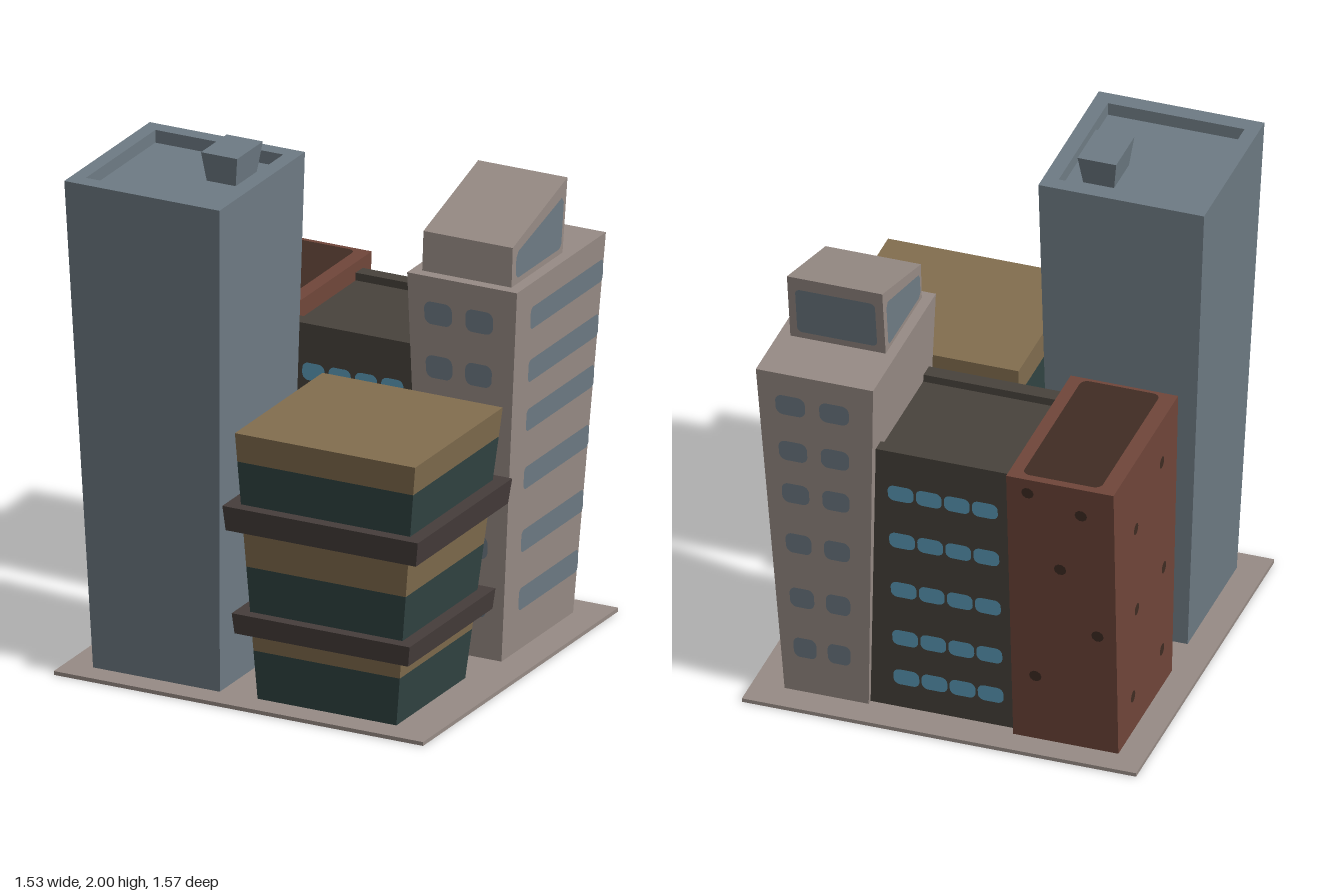
import * as THREE from 'three';

const paint = (name, color) => Object.assign(new THREE.MeshStandardMaterial({ color }), { name });
const M = {
  slate: paint('slate blue', 0x6e7b84),
  taupe: paint('warm taupe', 0x978b85),
  tan: paint('tan', 0x826e4f),
  teal: paint('dark teal', 0x324544),
  charcoal: paint('charcoal', 0x463d3b),
  brick: paint('brick red', 0x70463a),
  olive: paint('dark olive', 0x48433c),
  brown: paint('dark brown', 0x402c23),
  cyan: paint('window cyan', 0x5c9cb9),
};
const lerp = THREE.MathUtils.lerp;

function add(group, name, geometry, material) {
  const mesh = new THREE.Mesh(geometry, material);
  mesh.name = name;
  group.add(mesh);
  return mesh;
}

function part(parent, name) {
  const g = new THREE.Group();
  g.name = name;
  parent.add(g);
  return g;
}

// Flat-sided solid through rectangular rings [y, x0, x1, z0, z1], capped at both ends
function loft(rings) {
  const pos = [];
  const corners = ([y, x0, x1, z0, z1]) => [[x0, y, z1], [x1, y, z1], [x1, y, z0], [x0, y, z0]];
  const quad = (a, b, c, d) => pos.push(...a, ...b, ...c, ...a, ...c, ...d);
  const loops = rings.map(corners);
  for (let r = 0; r < loops.length - 1; r++) {
    const [a, b] = [loops[r], loops[r + 1]];
    for (let i = 0; i < 4; i++) quad(a[i], a[(i + 1) % 4], b[(i + 1) % 4], b[i]);
  }
  quad(...[...loops[0]].reverse());
  quad(...loops[loops.length - 1]);
  const g = new THREE.BufferGeometry();
  g.setAttribute('position', new THREE.Float32BufferAttribute(pos, 3));
  g.computeVertexNormals();
  return g;
}

// Side profile of [z, y] points extruded from x0 to x1
function sideProfile(points, x0, x1) {
  const shape = new THREE.Shape(points.map(([z, y]) => new THREE.Vector2(-z, y)));
  return new THREE.ExtrudeGeometry(shape, { depth: x1 - x0, bevelEnabled: false })
    .rotateY(Math.PI / 2).translate(x0, 0, 0);
}

// Rounded rectangle centred at (cx, cy)
function rounded(cx, cy, w, h, r) {
  const s = new THREE.Shape();
  const [x, y] = [w / 2 - r, h / 2 - r];
  s.absarc(cx + x, cy + y, r, 0, Math.PI / 2);
  s.absarc(cx - x, cy + y, r, Math.PI / 2, Math.PI);
  s.absarc(cx - x, cy - y, r, Math.PI, Math.PI * 1.5);
  s.absarc(cx + x, cy - y, r, Math.PI * 1.5, Math.PI * 2);
  return new THREE.ShapeGeometry(s, 5);
}

// Lays a flat (u, v) geometry on a wall by the rule at(u, v) => [x, y, z]
function lay(geometry, at) {
  const p = geometry.attributes.position;
  for (let i = 0; i < p.count; i++) p.setXYZ(i, ...at(p.getX(i), p.getY(i)));
  geometry.computeVertexNormals();
  return geometry;
}
const LIFT = 0.004;

function slateTower(root) {
  const g = part(root, 'slateTower');
  add(g, 'towerBody', loft([
    [0.015, -0.655, -0.13, 0.12, 0.665], [1.935, -0.74, -0.097, 0.06, 0.73],
    [1.935, -0.685, -0.155, 0.12, 0.665], [1.885, -0.685, -0.155, 0.12, 0.665],
  ]), M.slate);
  add(g, 'roofUnit', loft([
    [1.885, -0.34, -0.22, 0.205, 0.37], [2, -0.355, -0.205, 0.185, 0.387]]), M.slate);
}

function bandedBlock(root) {
  const g = part(root, 'bandedBlock');
  const ring = (y) => {
    const t = (y - 0.015) / 1.075;
    return [y, lerp(0.025, -0.012, t), lerp(0.6, 0.735, t), lerp(0.122, 0.083, t), lerp(0.662, 0.77, t)];
  };
  const levels = [0.015, 0.21, 0.325, 0.55, 0.75, 0.975, 1.09];
  for (let i = 0; i < 6; i++) {
    add(g, i % 2 ? 'tanBand' : 'glassBand', loft([ring(levels[i]), ring(levels[i + 1])]), i % 2 ? M.tan : M.teal);
  }
  add(g, 'lowerLedge', loft([[0.287, -0.032, 0.687, 0.073, 0.735], [0.367, -0.04, 0.697, 0.068, 0.742]]), M.charcoal);
  add(g, 'upperLedge', loft([[0.705, -0.046, 0.742, 0.055, 0.778], [0.802, -0.055, 0.755, 0.047, 0.787]]), M.charcoal);
}

function taupeTower(root) {
  const g = part(root, 'taupeTower');
  const H = 1.475, FRONT = -0.085;
  const left = (y) => lerp(0.315, 0.25, y / H);
  const right = (y) => lerp(0.64, 0.705, y / H);
  const back = (y) => lerp(-0.645, -0.782, y / H);
  const ring = (y) => [y, left(y), right(y), back(y), FRONT];
  add(g, 'taupeBody', loft([ring(0.015), ring(H)]), M.taupe);

  // Window rows: two on the front and back, one long strip on the side
  const taper = (u, y) => 0.4775 + u * (right(y) - left(y)) / 0.455;
  for (const y of [1.335, 1.125, 0.93, 0.7, 0.45, 0.22]) {
    for (const u of [-0.1, 0.075]) {
      const pane = () => rounded(u, y, 0.118, 0.088, 0.03);
      add(g, 'frontWindow', lay(pane(), (a, b) => [taper(a, b), b, FRONT + LIFT]), M.slate);
      add(g, 'backWindow', lay(pane(), (a, b) => [taper(-a, b), b, back(b) - LIFT]), M.slate);
    }
    const end = -back(y) - 0.006;
    add(g, 'sideWindow', lay(rounded((0.195 + end) / 2, y, end - 0.195, 0.088, 0.02),
      (a, b) => [right(b) + LIFT, b, -a]), M.slate);
  }

  // Sloped penthouse with glazing on three sides
  const p = part(g, 'penthouse');
  add(p, 'penthouseBody', sideProfile(
    [[-0.127, H], [-0.527, H], [-0.566, 1.757], [-0.137, 1.627]], 0.29, 0.66), M.taupe);
  const glass = new THREE.Shape();
  [[0.155, 1.515], [0.17, 1.5], [0.495, 1.5], [0.51, 1.515], [0.53, 1.675],
    [0.515, 1.695], [0.175, 1.603], [0.157, 1.58]].forEach(([u, y], i) => (i ? glass.lineTo(u, y) : glass.moveTo(u, y)));
  add(p, 'penthouseSideGlass', lay(new THREE.ShapeGeometry(glass), (u, y) => [0.66 + LIFT, y, -u]), M.slate);
  const mirrored = new THREE.Shape(glass.getPoints().map((v) => new THREE.Vector2(-v.x, v.y)));
  add(p, 'penthouseSideGlass', lay(new THREE.ShapeGeometry(mirrored), (u, y) => [0.29 - LIFT, y, u]), M.slate);
  add(p, 'penthouseBackGlass', lay(rounded(-0.475, 1.605, 0.31, 0.2, 0.02),
    (u, y) => [-u, y, lerp(-0.527, -0.566, (y - H) / 0.282) - LIFT]), M.slate);
}

function darkBlock(root) {
  const g = part(root, 'darkBlock');
  const front = (y) => lerp(-0.115, -0.125, y / 1.18);
  const back = (y) => lerp(-0.625, -0.715, y / 1.18);
  // Body with a raised parapet along front and back
  add(g, 'darkBody', sideProfile([[front(0), 0.015], [back(0), 0.015], [back(1.18), 1.18], [-0.66, 1.18],
    [-0.66, 1.15], [-0.185, 1.15], [-0.185, 1.18], [front(1.18), 1.18]], -0.3, 0.32), M.olive);
  for (const y of [0.995, 0.78, 0.555, 0.335, 0.155]) {
    for (let i = 0; i < 4; i++) {
      const x = -0.157 + i * 0.109;
      add(g, 'frontPane', lay(rounded(x, y, 0.092, 0.068, 0.025), (u, v) => [u, v, front(v) + LIFT]), M.cyan);
      add(g, 'backPane', lay(rounded(-x, y, 0.1, 0.068, 0.025), (u, v) => [-u, v, back(v) - LIFT]), M.cyan);
    }
  }
}

function brickBlock(root) {
  const g = part(root, 'brickBlock');
  const H = 1.22;
  const bottom = [0.015, -0.66, -0.252, -0.662, -0.068], top = [H, -0.685, -0.268, -0.787, -0.07];
  add(g, 'brickBody', loft([bottom, top]), M.brick);
  add(g, 'roofPanel', lay(rounded(-0.472, 0.425, 0.305, 0.67, 0.03), (u, v) => [u, H + LIFT, -v]), M.brown);

  // Scattered round windows
  const side = (k, y) => lerp(bottom[k], top[k], y / H);
  const dot = (u, y) => new THREE.CircleGeometry(0.024, 10).translate(u, y, 0);
  for (const [x, y] of [[-0.35, 1.16], [-0.555, 1.1], [-0.465, 0.83], [-0.6, 0.55], [-0.35, 0.31]]) {
    add(g, 'backPorthole', lay(dot(-x, y), (u, v) => [-u, v, side(3, v) - LIFT]), M.brown);
    add(g, 'frontPorthole', lay(dot(x, y), (u, v) => [u, v, side(4, v) + LIFT]), M.brown);
  }
  for (const [z, y] of [[-0.25, 1.04], [-0.53, 0.92], [-0.2, 0.55], [-0.5, 0.55], [-0.2, 0.19], [-0.52, 0.18]]) {
    add(g, 'sidePorthole', lay(dot(z, y), (u, v) => [side(1, v) - LIFT, v, u]), M.brown);
  }
}

export function createModel() {
  const root = new THREE.Group();
  root.name = 'cityBlock';
  add(root, 'groundSlab', new THREE.BoxGeometry(1.53, 0.015, 1.53).translate(0, 0.0075, 0), M.taupe);
  slateTower(root);
  bandedBlock(root);
  taupeTower(root);
  darkBlock(root);
  brickBlock(root);
  return root;
}
